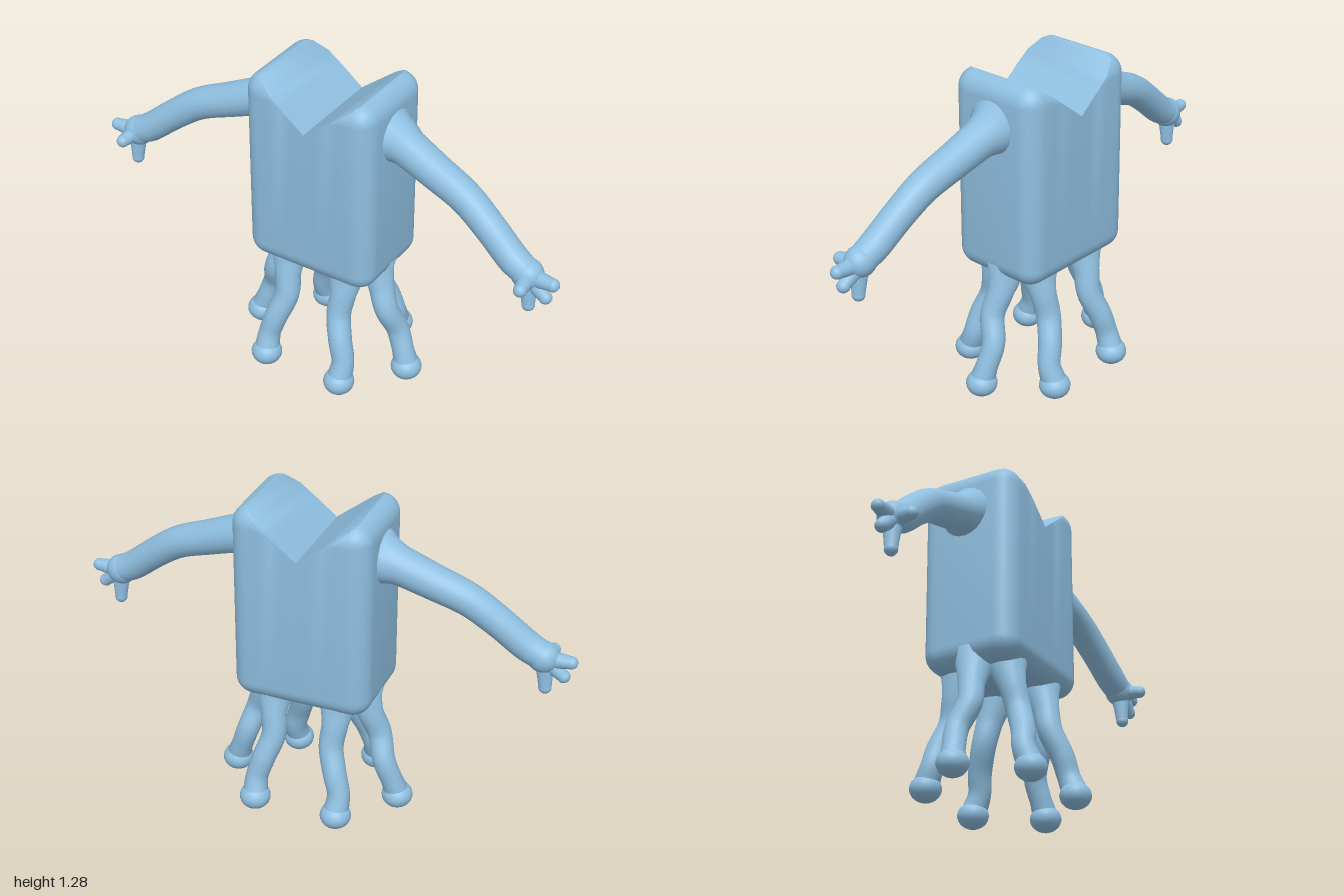
import * as THREE from 'three';
import { toCreasedNormals } from 'three/addons/utils/BufferGeometryUtils.js';

const skin = new THREE.MeshStandardMaterial({ color: 0x8fbfe0 });
skin.name = 'pale blue';

function addMesh(parent, geometry, name) {
  const mesh = new THREE.Mesh(geometry, skin);
  mesh.name = name;
  parent.add(mesh);
  return mesh;
}

function ball(parent, name, x, y, z, rx, ry = rx, rz = rx) {
  const mesh = addMesh(parent, new THREE.SphereGeometry(1, 24, 16), name);
  mesh.position.set(x, y, z);
  mesh.scale.set(rx, ry, rz);
}

// Tapered tube through nodes [x, y, z, radius]
function limb(parent, name, nodes, steps = 32, sides = 20) {
  const curve = new THREE.CatmullRomCurve3(nodes.map(n => new THREE.Vector3(n[0], n[1], n[2])));
  const geo = new THREE.TubeGeometry(curve, steps, 1, sides);
  const pos = geo.attributes.position;
  const v = new THREE.Vector3();
  for (let i = 0; i <= steps; i++) {
    const center = curve.getPointAt(i / steps);
    const t = curve.getUtoTmapping(i / steps) * (nodes.length - 1);
    const k = Math.min(Math.floor(t), nodes.length - 2);
    const radius = THREE.MathUtils.lerp(nodes[k][3], nodes[k + 1][3], t - k);
    for (let j = 0; j <= sides; j++) {
      const id = i * (sides + 1) + j;
      v.fromBufferAttribute(pos, id).sub(center).multiplyScalar(radius).add(center);
      pos.setXYZ(id, v.x, v.y, v.z);
    }
  }
  addMesh(parent, geo, name);
}

// Rounded block with a V notch across the top, lofted from slices along x
function bodyGeometry() {
  const W = 0.275, D = 0.2, R = 0.075, bottom = 0.48, top = 1.285, N = 8;
  const half = [0, 0.05, 0.1, 0.15, 0.2];
  for (let i = 1; i <= N; i++) half.push(W - R + R * Math.sin(i / N * Math.PI / 2));
  const xs = [...half.slice(1).reverse().map(x => -x), ...half];
  const slices = xs.map(x => {
    const qx = Math.max(Math.abs(x) - (W - R), 0);
    const r = Math.sqrt(Math.max(0, R * R - qx * qx));
    const crest = Math.min(1.115 + 0.79 * Math.abs(x), top - R + r);
    const start = Math.min(top - R, crest);
    const side = [];
    for (let i = 0; i <= N; i++) {
      const a = i / N * Math.PI / 2;
      side.push([bottom + R - r * Math.cos(a), D - R + r * Math.sin(a)]);
    }
    for (let i = 0; i <= N; i++) {
      const y = start + (crest - start) * Math.sin(i / N * Math.PI / 2);
      const qy = Math.max(y - (top - R), 0);
      side.push([y, D - R + Math.sqrt(Math.max(0, r * r - qy * qy))]);
    }
    return [...side.map(([y, z]) => [x, y, z]), ...side.reverse().map(([y, z]) => [x, y, -z])];
  });
  const m = slices[0].length, index = [];
  const quad = (a, b, c, d) => index.push(a, b, c, a, c, d);
  for (let i = 0; i < xs.length - 1; i++) {
    for (let j = 0; j < m; j++) {
      const k = (j + 1) % m;
      quad(i * m + j, (i + 1) * m + j, (i + 1) * m + k, i * m + k);
    }
  }
  // flat side panels
  const e = (xs.length - 1) * m;
  for (let j = 0; j < m / 2 - 1; j++) {
    const b = m - 1 - j;
    quad(e + j, e + b, e + b - 1, e + j + 1);
    quad(j, j + 1, b - 1, b);
  }
  const geo = new THREE.BufferGeometry();
  geo.setAttribute('position', new THREE.Float32BufferAttribute(slices.flat(2), 3));
  geo.setIndex(index);
  return toCreasedNormals(geo, 0.75);
}

function addArm(parent, s, label) {
  const arm = new THREE.Group();
  arm.name = label + 'Arm';
  parent.add(arm);
  // flared shoulder, elbow and wrist
  limb(arm, 'arm', [
    [0.25, 1.095, 0, 0.115], [0.285, 1.087, 0, 0.09], [0.33, 1.072, 0.006, 0.074],
    [0.45, 1.025, 0.02, 0.068], [0.59, 0.968, 0.036, 0.063], [0.7, 0.892, 0.052, 0.06],
    [0.81, 0.805, 0.068, 0.059], [0.86, 0.777, 0.073, 0.055],
  ].map(([x, y, z, r]) => [s * x, y, z, r]), 48);
  ball(arm, 'palm', s * 0.87, 0.77, 0.074, 0.062, 0.06, 0.058);
  // three fingers and a forward thumb
  const tips = [[0.975, 0.765, 0.08], [0.95, 0.7, 0.08], [0.884, 0.64, 0.077], [0.887, 0.757, 0.16]];
  tips.forEach(([x, y, z], i) => {
    const name = i < 3 ? 'finger' : 'thumb';
    limb(arm, name, [
      [s * 0.875, 0.765, 0.075, 0.045],
      [s * (0.875 + x) / 2, (0.765 + y) / 2, (0.075 + z) / 2, 0.031],
      [s * x, y, z, 0.024],
    ], 10, 14);
    ball(arm, name + 'Tip', s * x, y, z, 0.025);
  });
}

function addLeg(parent, name, nodes) {
  const leg = new THREE.Group();
  leg.name = name;
  parent.add(leg);
  limb(leg, 'shin', nodes);
  const [x, , z] = nodes[nodes.length - 1];
  ball(leg, 'foot', x, 0.052, z, 0.061, 0.052, 0.061);
}

export function createModel() {
  const model = new THREE.Group();
  model.name = 'creature';
  addMesh(model, bodyGeometry(), 'body');

  for (const s of [1, -1]) {
    const label = s > 0 ? 'left' : 'right';
    addArm(model, s, label);

    // middle leg splays sideways
    addLeg(model, label + 'MiddleLeg', [
      [0.19, 0.52, 0, 0.09], [0.203, 0.47, 0, 0.065], [0.225, 0.4, 0.005, 0.05],
      [0.258, 0.31, 0.018, 0.047], [0.29, 0.21, -0.015, 0.045],
      [0.322, 0.12, -0.008, 0.043], [0.343, 0.06, 0, 0.05],
    ].map(([x, y, z, r]) => [s * x, y, z, r]));

    // wavy corner legs, front and back
    for (const f of [1, -1]) {
      addLeg(model, label + (f > 0 ? 'Front' : 'Back') + 'Leg', [
        [0.13, 0.52, 0.1, 0.09], [0.13, 0.47, 0.108, 0.066], [0.127, 0.4, 0.125, 0.051],
        [0.12, 0.31, 0.145, 0.048], [0.15, 0.21, 0.18, 0.046],
        [0.172, 0.13, 0.195, 0.044], [0.17, 0.06, 0.222, 0.05],
      ].map(([x, y, z, r]) => [s * x, y, f * z, r]));
    }
  }
  return model;
}
